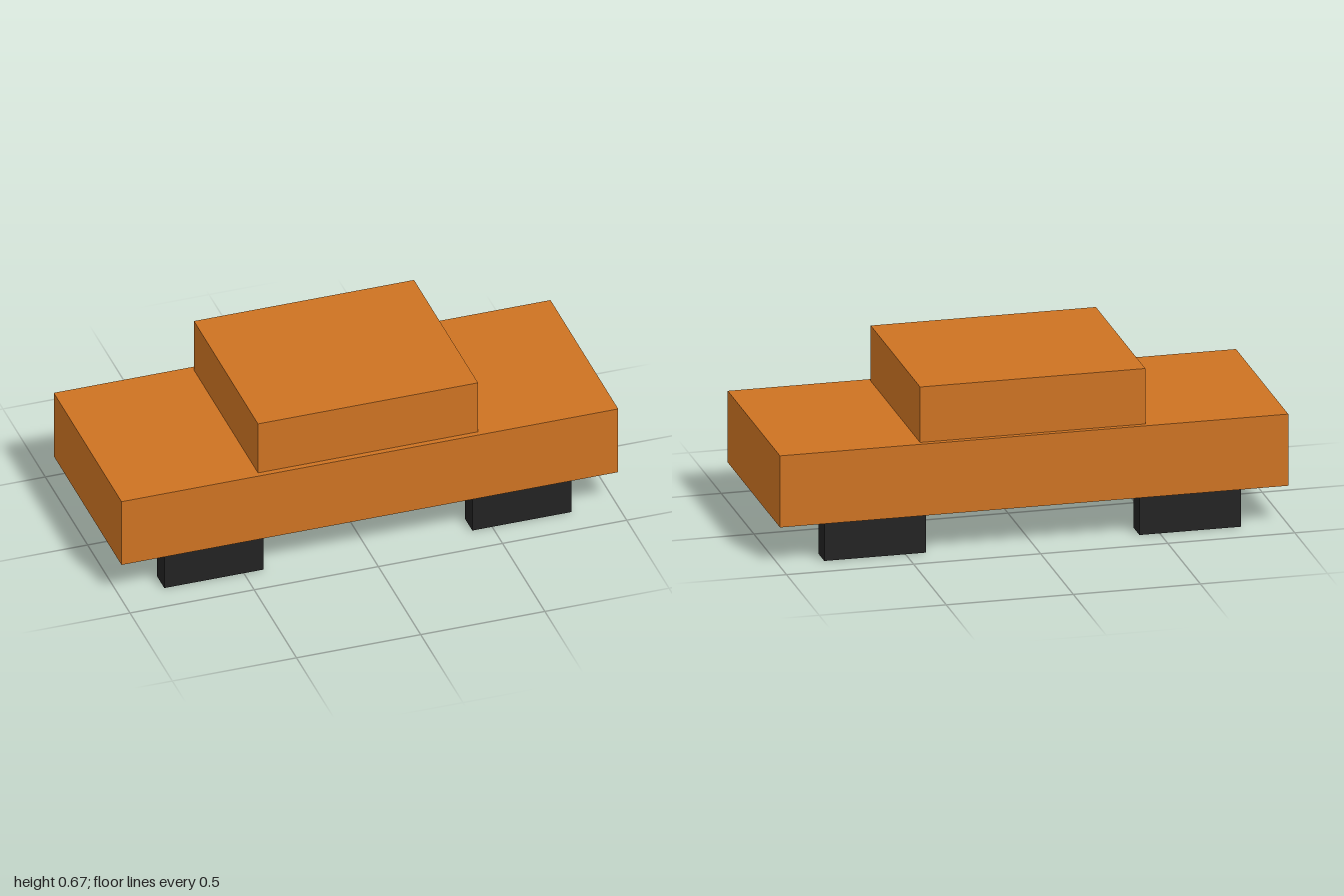
import * as THREE from 'three';

export function createModel() {
  const car = new THREE.Group();
  car.name = 'car';

  const paint = new THREE.MeshStandardMaterial({ color: 0xcc7222 });
  paint.name = 'orange paint';
  const rubber = new THREE.MeshStandardMaterial({ color: 0x222222 });
  rubber.name = 'black rubber';

  // Adds a box given its size, the height of its base and its x, z centre
  function addBox(name, material, [w, h, d], base, x = 0, z = 0) {
    const mesh = new THREE.Mesh(new THREE.BoxGeometry(w, h, d), material);
    mesh.name = name;
    mesh.position.set(x, base + h / 2, z);
    car.add(mesh);
  }

  // Body and cabin
  addBox('body', paint, [2, 0.288, 0.8], 0.157);
  addBox('cabin', paint, [0.886, 0.223, 0.756], 0.445);

  // Four block wheels under the corners
  for (const [end, x] of [['front', 0.62], ['rear', -0.62]]) {
    for (const [side, z] of [['Near', 0.334], ['Far', -0.334]]) {
      addBox(`${end}${side}Wheel`, rubber, [0.4, 0.157, 0.088], 0, x, z);
    }
  }

  return car;
}
